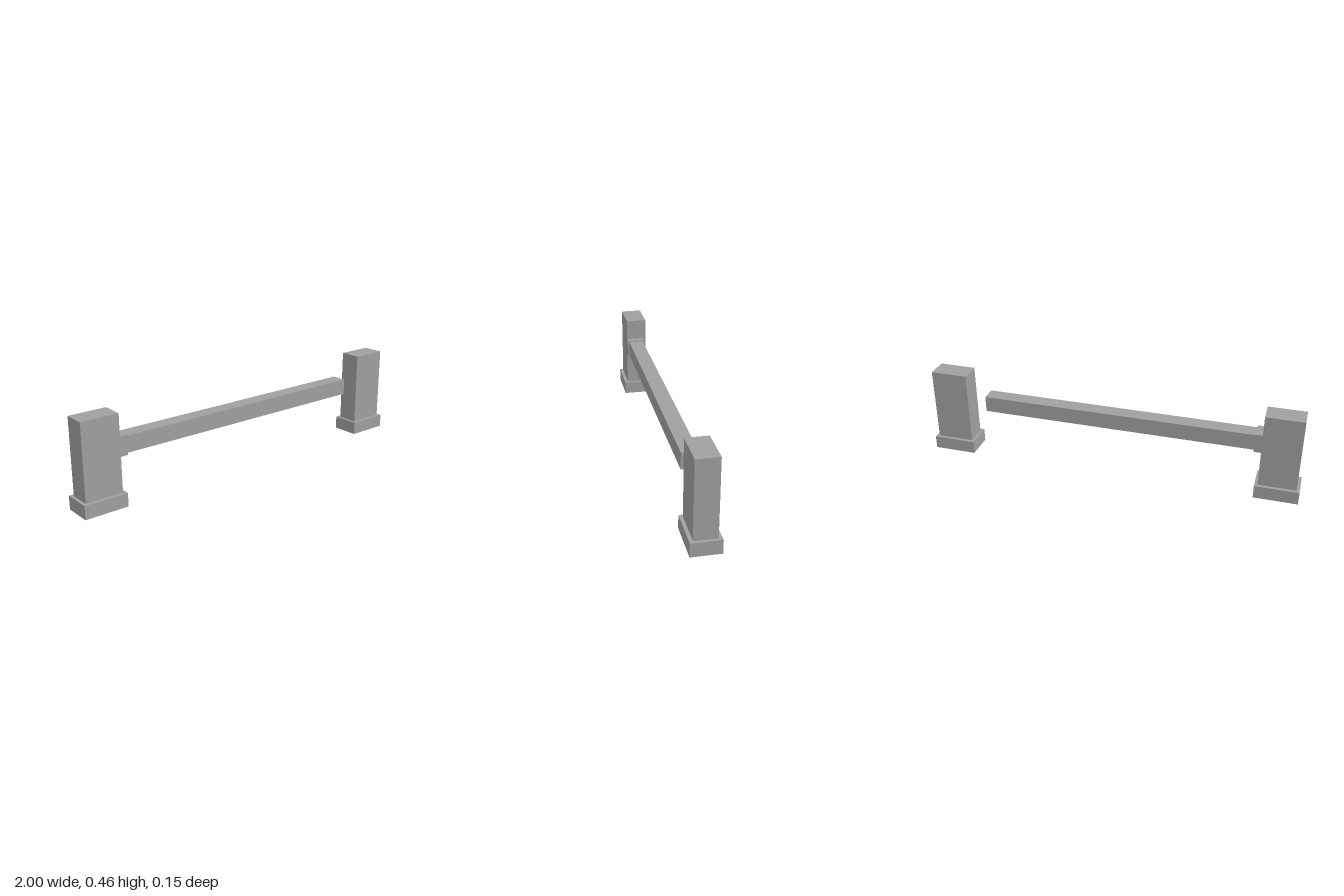
import * as THREE from 'three';

export function createModel() {
  const model = new THREE.Group();
  model.name = 'barrierGate';

  const grey = new THREE.MeshStandardMaterial({ color: 0xa0a0a0 });
  grey.name = 'grey';

  // Box given by its size and centre
  function box(parent, name, size, centre) {
    const mesh = new THREE.Mesh(new THREE.BoxGeometry(...size), grey);
    mesh.name = name;
    mesh.position.set(...centre);
    parent.add(mesh);
  }

  // Mirrored posts, each standing on a wider plinth
  for (const side of [-1, 1]) {
    const post = new THREE.Group();
    post.name = side < 0 ? 'rightPost' : 'leftPost';
    post.position.x = side * 0.886;
    box(post, 'plinth', [0.228, 0.07, 0.148], [0, 0.035, 0]);
    box(post, 'pillar', [0.196, 0.393, 0.113], [0, 0.2665, 0]);
    model.add(post);
  }

  // Barrier arm, held by a slightly larger collar on the right post
  const arm = new THREE.Group();
  arm.name = 'barrierArm';
  arm.position.set(0, 0.3, 0.008);
  box(arm, 'collar', [0.04, 0.1, 0.096], [-0.77, 0, 0]);
  box(arm, 'beam', [1.455, 0.085, 0.081], [-0.0325, 0, 0]);
  model.add(arm);

  return model;
}
